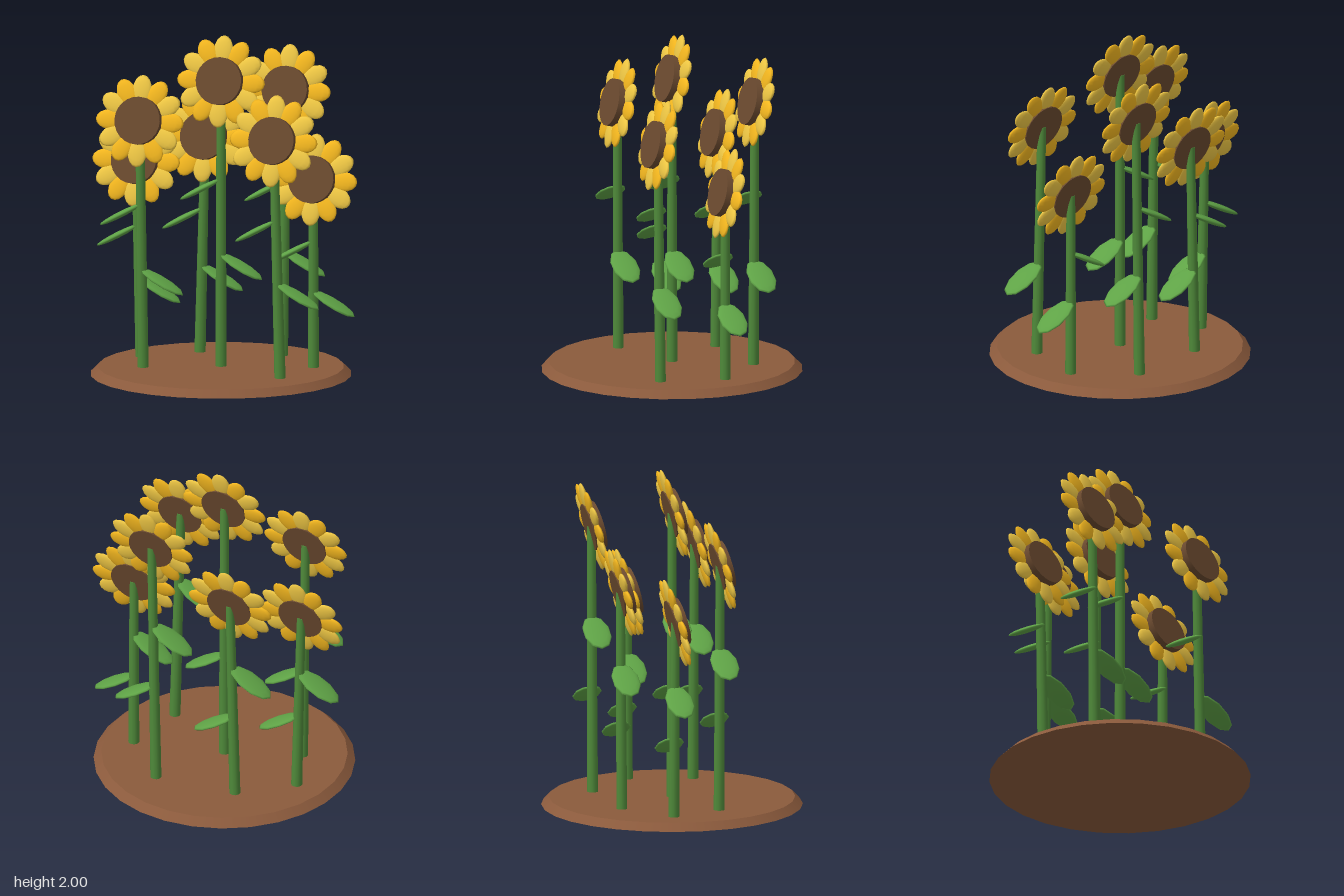
import * as THREE from 'three';

const mat = (color) => new THREE.MeshStandardMaterial({ color });
const soilMat = mat(0x8b5a3c);
const stemMat = mat(0x4f8a3a);
const leafMat = mat(0x5fa346);
const discMat = mat(0x6b4a2f);
const petalMats = [mat(0xf5b81f), mat(0xf0c844)];

const SOIL_TOP = 0.045;
const PETALS = 12;

const petalGeo = new THREE.SphereGeometry(1, 12, 8).scale(0.086, 0.058, 0.018);
const leafGeo = new THREE.SphereGeometry(1, 10, 8).scale(0.147, 0.018, 0.083);
const discGeo = new THREE.CylinderGeometry(0.14, 0.14, 0.07, 24).rotateX(Math.PI / 2);

function part(name, geometry, material, parent) {
  const mesh = new THREE.Mesh(geometry, material);
  mesh.name = name;
  parent.add(mesh);
  return mesh;
}

// Seed disc ringed by petals in two alternating yellows, tipped back to the sky
function flowerHead() {
  const head = new THREE.Group();
  head.name = 'flowerHead';
  part('seedDisc', discGeo, discMat, head).position.z = 0.015;
  for (let i = 0; i < PETALS; i++) {
    const a = (i / PETALS) * Math.PI * 2;
    const petal = part('petal', petalGeo, petalMats[i % 2], head);
    petal.position.set(Math.cos(a) * 0.185, Math.sin(a) * 0.185, 0);
    petal.rotation.z = a;
  }
  head.rotation.x = -0.25;
  return head;
}

// Stem from the soil to the head, with one drooping leaf on each side
function sunflower(baseX, headX, headY, z) {
  const flower = new THREE.Group();
  flower.name = 'sunflower';
  const base = new THREE.Vector3(baseX, SOIL_TOP - 0.01, z);
  const top = new THREE.Vector3(headX, headY, z);
  const dir = top.clone().sub(base);

  const stem = part('stem', new THREE.CylinderGeometry(0.026, 0.033, dir.length(), 10), stemMat, flower);
  stem.position.copy(base).lerp(top, 0.5);
  stem.quaternion.setFromUnitVectors(new THREE.Vector3(0, 1, 0), dir.normalize());

  for (const [side, ratio] of [[1, 0.37], [-1, 0.627]]) {
    const leaf = part(side > 0 ? 'leftLeaf' : 'rightLeaf', leafGeo, leafMat, flower);
    const stemX = THREE.MathUtils.lerp(baseX, headX, ratio);
    leaf.position.set(stemX + side * 0.125, headY * ratio, z);
    leaf.rotation.z = -side * 0.5;
  }

  const head = flowerHead();
  head.position.copy(top);
  flower.add(head);
  return flower;
}

export function createModel() {
  const model = new THREE.Group();
  model.name = 'sunflowerPatch';

  // Round soil bed with a bevelled rim
  const soil = part('soilBed', new THREE.CylinderGeometry(0.72, 0.765, SOIL_TOP, 28), soilMat, model);
  soil.position.set(0.02, SOIL_TOP / 2, 0);

  // Stem foot x, head x, head height, depth
  const flowers = [
    [0.02, 0.02, 1.738, 0],
    [-0.4, -0.42, 1.508, 0.18],
    [-0.515, -0.545, 1.21, -0.12],
    [-0.235, -0.203, 1.33, -0.365],
    [0.255, 0.283, 1.625, -0.42],
    [0.465, 0.425, 1.452, 0.235],
    [0.543, 0.542, 1.16, -0.14],
  ];
  for (const f of flowers) model.add(sunflower(...f));
  return model;
}
